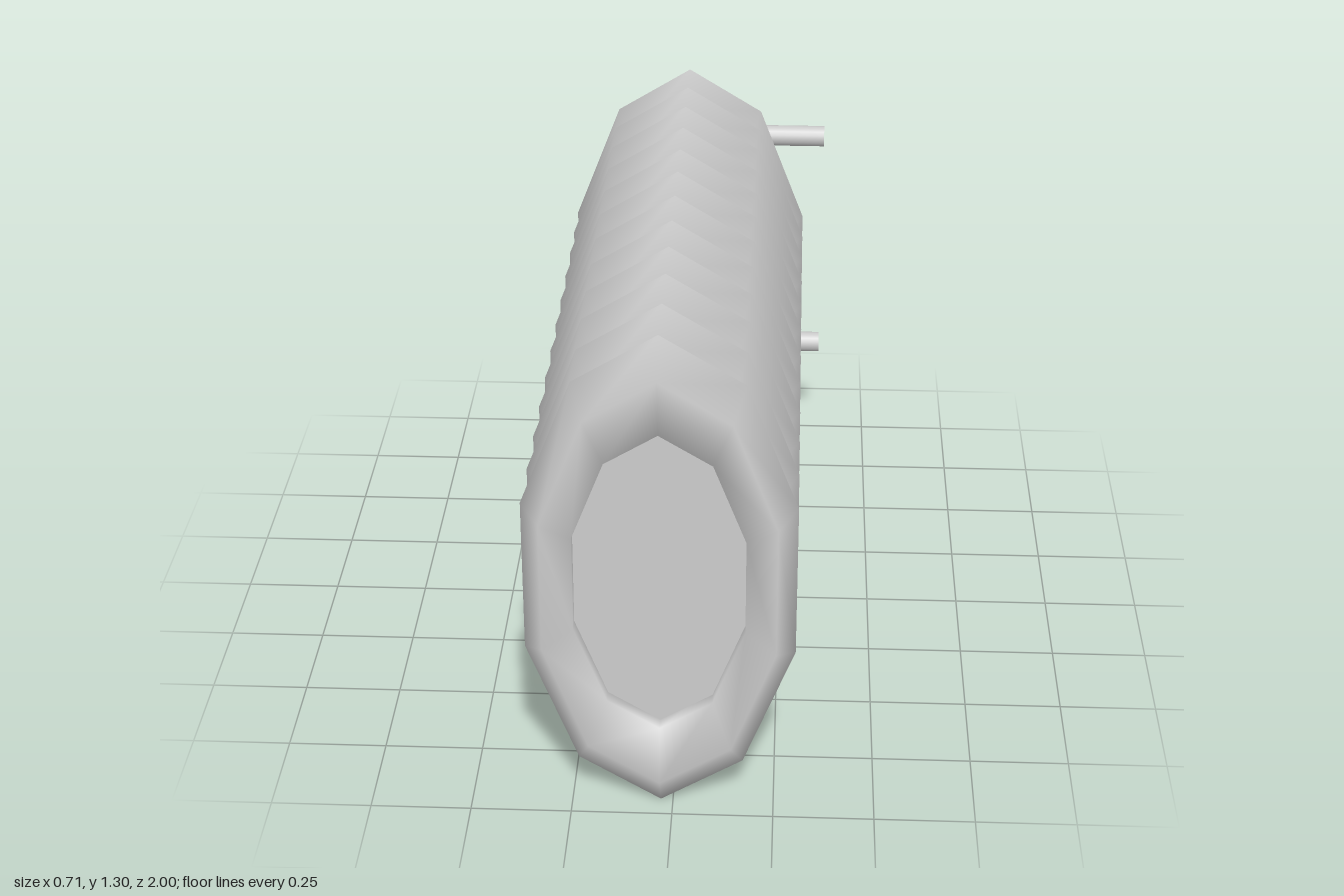
import * as THREE from 'three';

const material = new THREE.MeshStandardMaterial({ color: 0xcccccc });
const CX = -0.03;   // centre line of the body
const CY = 0.65;

function add(parent, geometry, name) {
  const mesh = new THREE.Mesh(geometry, material);
  mesh.name = name;
  parent.add(mesh);
  return mesh;
}

export function createModel() {
  const group = new THREE.Group();
  group.name = 'radiator';

  // Ribs: oval rings with ten sides and a five-sided section
  const ring = new THREE.TorusGeometry(0.517, 0.133, 5, 10);
  ring.rotateZ(Math.PI / 2);
  ring.scale(0.53, 1, 0.467);
  const ringZ = [0.94, 0.78, 0.62, 0.468, 0.315, 0.163, 0.01, -0.137, -0.287, -0.437, -0.58, -0.72];
  const ribs = new THREE.Group();
  ribs.name = 'ribs';
  group.add(ribs);
  ringZ.forEach((z) => add(ribs, ring, 'rib').position.set(CX, CY, z));

  // Core: chamfered block running through all the ribs
  const outline = [[0.17, 0.175], [0.245, 0.25], [0.245, 1.0], [0.17, 1.11]];
  const mirrored = outline.map(([x, y]) => [-x, y]).reverse();
  const shape = new THREE.Shape([...outline, ...mirrored].map(([x, y]) => new THREE.Vector2(x, y)));
  const front = 0.94, back = -0.72;
  const core = new THREE.ExtrudeGeometry(shape, { depth: front - back, bevelEnabled: false });
  add(group, core, 'core').position.set(CX - 0.005, 0, back);

  // Pipes: each leaves the back and turns towards +x
  const pipe = (length) => new THREE.CylinderGeometry(0.03, 0.03, length, 16);
  for (const [y, label] of [[1.0, 'upperPipe'], [0.315, 'lowerPipe']]) {
    const elbow = new THREE.Group();
    elbow.name = label;
    group.add(elbow);
    const stub = add(elbow, pipe(0.28).rotateX(Math.PI / 2), 'pipeStub');
    stub.position.set(-0.147, y, -0.86);
    const arm = add(elbow, pipe(0.502).rotateZ(Math.PI / 2), 'pipeArm');
    arm.position.set(0.106, y, -0.97);
  }

  return group;
}
